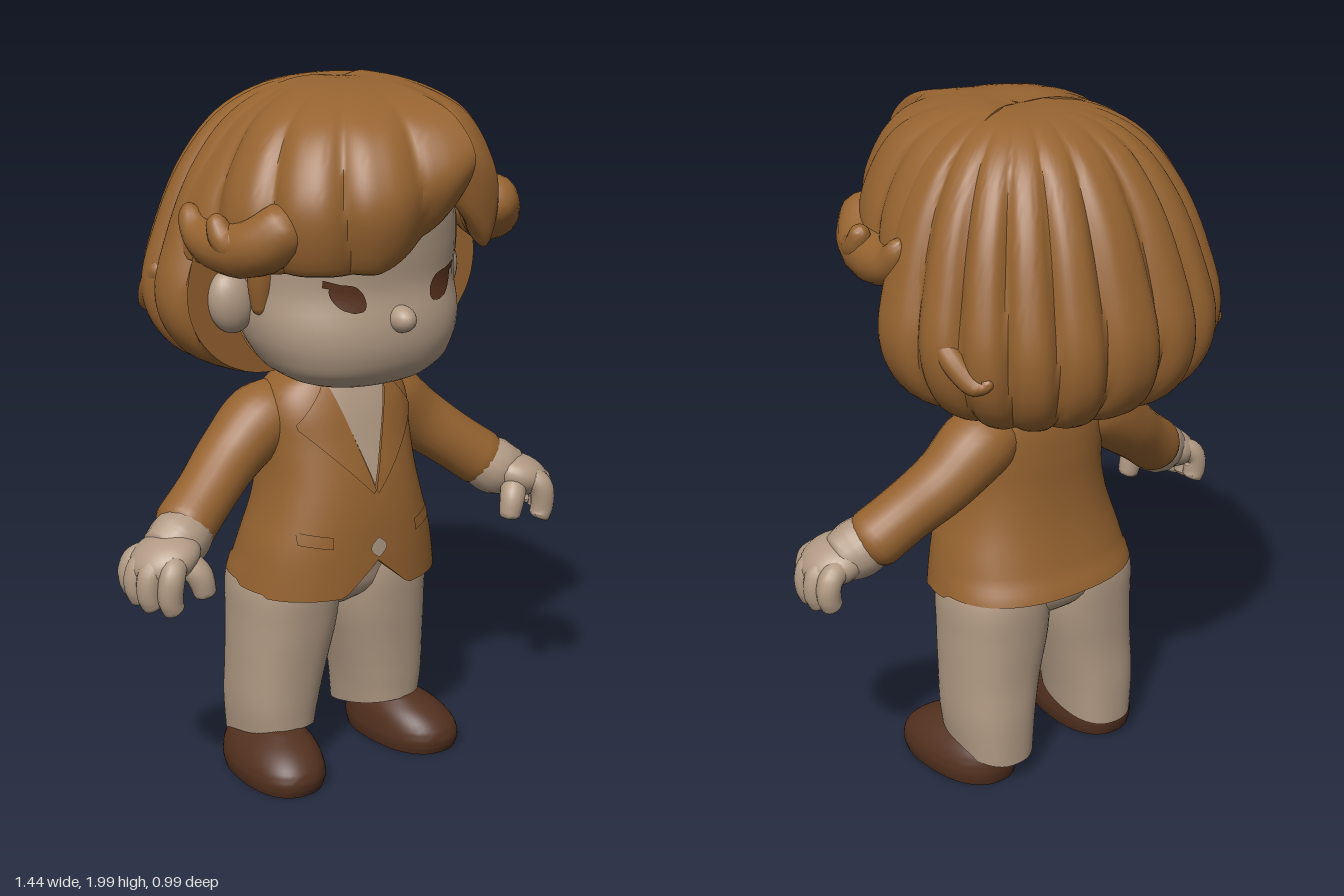
import * as THREE from 'three';
import { mergeVertices, toCreasedNormals } from 'three/addons/utils/BufferGeometryUtils.js';

const mat = (name, color) => Object.assign(new THREE.MeshStandardMaterial({ color, side: THREE.DoubleSide }), { name });
const { clamp, lerp, smoothstep } = THREE.MathUtils;

// Surface from a function of (row, column), smooth except at sharp creases
function grid(rows, cols, fn, crease = 1.1) {
  const pos = [], idx = [];
  for (let i = 0; i <= rows; i++) for (let j = 0; j <= cols; j++) pos.push(...fn(i, j));
  for (let i = 0; i < rows; i++) for (let j = 0; j < cols; j++) {
    const a = i * (cols + 1) + j, b = a + cols + 1;
    idx.push(a, b, a + 1, b, b + 1, a + 1);
  }
  const g = new THREE.BufferGeometry();
  g.setAttribute('position', new THREE.Float32BufferAttribute(pos, 3));
  g.setIndex(idx);
  return toCreasedNormals(mergeVertices(g, 1e-5), crease);
}

// Smooth interpolation of rows [t, a, b, ...]
function interpolator(table) {
  const n = table[0].length - 1;
  const it = new THREE.CubicInterpolant(new Float32Array(table.map(r => r[0])),
    new Float32Array(table.flatMap(r => r.slice(1))), n, new Float32Array(n));
  return t => Array.from(it.evaluate(t));
}

// Horizontal rounded sections: [y, centre x, half width, front z, back z]
const ROUND = 0.85;
const pw = (v, p) => Math.sign(v) * Math.abs(v) ** p;
function loft(rings, deform = p => p, seg = 48, sub = 4) {
  const at = interpolator(rings), ys = [];
  rings.forEach((r, i) => {
    if (i) for (let k = 1; k <= sub; k++) ys.push(lerp(rings[i - 1][0], r[0], k / sub));
    else ys.push(r[0]);
  });
  const last = ys.length + 1;
  return grid(last, seg, (i, j) => {
    const y = ys[clamp(i - 1, 0, ys.length - 1)], [cx, rx, zf, zb] = at(y);
    const k = i === 0 || i === last ? 0 : 1, a = (j % seg) / seg * Math.PI * 2;
    return deform([cx + k * Math.max(rx, 0.001) * pw(Math.cos(a), ROUND), y,
      (zf + zb) / 2 + k * (zf - zb) / 2 * pw(Math.sin(a), ROUND)], i === 0);
  });
}

// Front depth of a lofted body at (x, y)
function frontOf(rings) {
  const at = interpolator(rings);
  return (x, y) => {
    const [cx, rx, zf, zb] = at(y), q = Math.min(1, Math.abs((x - cx) / rx));
    return (zf + zb) / 2 + (zf - zb) / 2 * (1 - q ** (2 / ROUND)) ** (ROUND / 2);
  };
}

// Thin plate laid on a body: edge(t) gives [x left, x right, y left, y right]
const patch = (front, edge, lift, n = 20) => grid(n, n, (i, j) => {
  const [xa, xb, ya, yb] = edge(1 - i / n), s = j / n;
  const x = lerp(xb, xa, s), y = lerp(yb, ya, s);
  return [x, y, front(x, y) + lift];
});

// Tapered round tube with rounded tips
function tube(points, radii, squash = 1, n = 24, seg = 16) {
  const c = new THREE.CatmullRomCurve3(points.map(p => new THREE.Vector3(...p)));
  const f = c.computeFrenetFrames(n), rad = interpolator(radii.map((r, i) => [i / (radii.length - 1), r]));
  return grid(n, seg, (i, j) => {
    const t = (1 - Math.cos(i / n * Math.PI)) / 2, a = (j % seg) / seg * Math.PI * 2;
    const e = Math.max(0, Math.abs(t - 0.5) * 2 - 0.8) / 0.2;
    const r = rad(t)[0] * Math.sqrt(Math.max(0, 1 - e * e));
    const k = Math.round(t * n);
    return c.getPoint(t).addScaledVector(f.normals[k], r * Math.cos(a))
      .addScaledVector(f.binormals[k], -r * squash * Math.sin(a)).toArray();
  });
}

// Ribbed hair shell around the crown; section(u, angle) gives [radius, y], from crown to rim to inside
function hairShell(from, to, rx, rz, lobes, depth, section) {
  const rows = 44, cols = 150;
  return grid(rows, cols, (i, j) => {
    const u = i / rows, v = clamp((j - 1) / (cols - 2), 0, 1), a = lerp(from, to, v);
    let [r, y] = section(u, a);
    const rib = Math.abs(Math.sin(v * lobes * Math.PI + 0.5 * Math.sin(u * 4)));
    r *= 1 - depth * Math.min(1, u * 2.5) * (1 - rib) ** 1.5;
    if (j === 0 || j === cols) r *= 0.72;
    return [0.05 * (1 - Math.min(1, r)) + r * rx * pw(Math.sin(a), 0.88), y, r * rz * pw(Math.cos(a), 0.88)];
  }, 0.9);
}

export function createModel() {
  const skin = mat('warm beige', 0xb19a84), brown = mat('chestnut brown', 0x966330);
  const leather = mat('dark leather', 0x52301f), iris = mat('eye brown', 0x56301c);
  const model = new THREE.Group();
  const add = (name, geo, m) => {
    const mesh = new THREE.Mesh(geo, m);
    mesh.name = name;
    model.add(mesh);
    return mesh;
  };

  // Head, nose and neck
  const headRings = [[1.175, 0, 0.06, 0.2, 0.06], [1.185, 0, 0.15, 0.265, 0], [1.215, 0, 0.23, 0.315, -0.05],
    [1.28, 0, 0.285, 0.35, -0.12], [1.36, 0, 0.31, 0.355, -0.16], [1.46, 0, 0.312, 0.335, -0.2],
    [1.56, 0, 0.315, 0.34, -0.2], [1.68, 0, 0.3, 0.34, -0.2], [1.8, 0, 0.25, 0.29, -0.16], [1.88, 0, 0.1, 0.13, -0.05]];
  add('head', loft(headRings), skin);
  add('nose', new THREE.SphereGeometry(1, 20, 14).scale(0.037, 0.037, 0.05).translate(0, 1.385, 0.348), skin);
  add('neck', new THREE.CylinderGeometry(0.11, 0.12, 0.2, 28).translate(0, 1.13, 0.03), skin);

  // Jacket with a hollow hem, cut away at the front
  const coat = [[0.58, 0, 0.31, 0.255, -0.22], [0.7, 0, 0.284, 0.252, -0.18], [0.8, 0, 0.252, 0.245, -0.157],
    [0.9, 0, 0.23, 0.228, -0.147], [1.0, 0, 0.226, 0.2, -0.145], [1.1, 0, 0.225, 0.17, -0.135],
    [1.16, 0, 0.19, 0.145, -0.11], [1.2, 0, 0.125, 0.125, -0.055]];
  add('jacket', loft(coat, ([x, y, z], cap) => {
    const notch = z > 0.12 && y < 0.7 ? Math.max(0, 1 - Math.abs(x) / 0.11) : 0;
    return [x, cap ? 0.69 : y + notch * (0.7 - y) * 0.8 + (z < 0 && y < 0.62 ? 0.015 : 0) - (z > 0.12 && y < 0.6 ? 0.01 : 0), z];
  }, 96), brown);
  const chest = frontOf(coat);
  add('shirtFront', patch(chest, t => [-0.1 * t, 0.1 * t, 0.88 + 0.305 * t, 0.88 + 0.305 * t], 0.006), skin);
  add('waistGap', patch(chest, t => {
    const w = 0.027 * Math.sin(t * Math.PI);
    return [-w, w, 0.675 + 0.06 * t, 0.675 + 0.06 * t];
  }, 0.006), skin);

  // Trousers seat
  add('trouserSeat', loft([[0.475, 0, 0.03, 0.07, -0.08], [0.52, 0, 0.17, 0.13, -0.145],
    [0.6, 0, 0.275, 0.155, -0.165], [0.72, 0, 0.24, 0.19, -0.13]]), skin);

  // Back hair: a bob that curls under to the neck, a little shorter at the sides
  const bob = interpolator([[0, 0, 1.985], [0.08, 0.2, 1.985], [0.17, 0.41, 1.96], [0.27, 0.62, 1.89], [0.38, 0.8, 1.76],
    [0.5, 0.93, 1.59], [0.61, 1, 1.43], [0.7, 0.96, 1.31], [0.78, 0.84, 1.225], [0.86, 0.66, 1.185], [0.92, 0.46, 1.19], [1, 0.22, 1.24]]);
  add('backHair', hairShell(1.5, Math.PI * 2 - 1.5, 0.505, 0.49, 11, 0.075, (u, a) => {
    const [r, y] = bob(u);
    return [r, y + 0.035 * Math.sin(a) ** 6 * smoothstep(u, 0.5, 0.76) * (1 - smoothstep(u, 0.82, 0.95))];
  }), brown);

  // Front hair: fringe swept away from a side parting, tapered at the sides
  const fringe = interpolator([[0, 0, 0, 1.985], [0.12, 0.28, 0.22, 1.99], [0.25, 0.6, 0.44, 1.955], [0.4, 0.85, 0.65, 1.885],
    [0.55, 1, 0.84, 1.75], [0.7, 0.98, 0.94, 1.62], [0.78, 0.9, 0.95, 1.54], [0.86, 0.8, 0.84, 1.57], [1, 0.7, 0.66, 1.72]]);
  add('frontHair', hairShell(-1.8, 1.8, 0.48, 0.5, 8, 0.06, (u, a) => {
    const [rf, rs, y] = fringe(u), d = a - 0.22, front = Math.max(0, Math.cos(a));
    const rise = d > 0 ? 1.1 * Math.max(0, 1 - d / 0.5) : 0.78 * Math.max(0, 1 + d / 0.52) ** 1.5;
    const dip = d > 0 ? 0.07 * front + 0.12 * Math.max(0, 1 - d / 0.45) : 0;
    return [lerp(rs, rf, front ** 0.8) * (1 - dip * Math.min(1, u * 2)), 1.99 - (1.99 - y) * (1 - 0.52 * rise)];
  }), brown);

  for (const s of [1, -1]) {
    const side = s > 0 ? 'left' : 'right';
    const m = pts => pts.map(([x, y, z]) => [s * x, y, z]);
    const plate = (name, front, edge, lift, material) =>
      add(side + name, patch(front, t => {
        const [a, b, c, d] = edge(t);
        return s > 0 ? [a, b, c, d] : [-b, -a, d, c];
      }, lift), material);

    // Eye with an outer lash
    plate('Eye', frontOf(headRings), t => {
      const w = 0.045 * Math.max(0, 1 - (2 * t - 1) ** 2) ** 0.36, c = 0.152 + 0.012 * (2 * t - 1), y = 1.415 + 0.078 * t;
      return [c - w, c + w, y - w * 0.05, y + w * 0.2];
    }, 0.006, iris);
    plate('Lash', frontOf(headRings), t => [0.16, 0.214, 1.472 + 0.018 * t, 1.487 + 0.02 * t], 0.007, iris);

    // Ear and sideburn
    const ear = add(side + 'Ear', new THREE.SphereGeometry(1, 24, 16), skin);
    ear.scale.set(0.068, 0.09, 0.055);
    ear.position.set(s * 0.345, 1.42, 0.045);
    ear.rotation.z = -s * 0.2;
    add(side + 'Sideburn', tube(m([[0.295, 1.62, 0.14], [0.3, 1.5, 0.13], [0.295, 1.39, 0.12]]), [0.04, 0.04, 0.025]), brown);

    // Curled locks at the temple and the nape
    add(side + 'TempleCurl', tube(m([[0.31, 1.7, 0.33], [0.385, 1.61, 0.24], [0.42, 1.595, 0.13], [0.437, 1.615, 0.04], [0.445, 1.69, -0.01]]),
      [0.07, 0.08, 0.07, 0.05, 0.025]), brown);
    add(side + 'TempleFlick', tube(m([[0.37, 1.66, 0.28], [0.42, 1.61, 0.22], [0.448, 1.63, 0.18], [0.46, 1.69, 0.15]]),
      [0.05, 0.052, 0.04, 0.022]), brown);
    add(side + 'NapeFlick', tube(m([[0.44, 1.5, -0.15], [0.435, 1.42, -0.22], [0.405, 1.36, -0.29], [0.39, 1.39, -0.33]]),
      [0.03, 0.035, 0.03, 0.012]), brown);

    // Lapel and pocket flap
    plate('Lapel', chest, t => {
      const outer = t < 0.68 ? 0.008 + 0.19 * t / 0.68 : 0.198 - 0.24 * (t - 0.68);
      return [0.1 * t, Math.max(outer, 0.1 * t + 0.004), 0.87 + 0.315 * t, 0.86 + 0.29 * t];
    }, 0.009, brown);
    plate('PocketFlap', chest, t => [0.14, 0.225, 0.72 + 0.035 * t, 0.735 + 0.035 * t], 0.006, brown);

    // Sleeve, wrist and hand
    add(side + 'Sleeve', tube(m([[0.1, 1.08, -0.01], [0.2, 1.055, -0.02], [0.32, 0.965, -0.01], [0.43, 0.88, 0.03], [0.555, 0.785, 0.075]]),
      [0.08, 0.108, 0.096, 0.088, 0.092], 0.95, 32, 24), brown);
    add(side + 'Wrist', tube(m([[0.48, 0.835, 0.06], [0.55, 0.79, 0.085], [0.62, 0.765, 0.1]]), [0.07, 0.085, 0.065]), skin);
    const palm = add(side + 'Palm', new THREE.SphereGeometry(1, 28, 20), skin);
    palm.scale.set(0.1, 0.062, 0.1);
    palm.position.set(s * 0.608, 0.765, 0.115);
    palm.rotation.z = -s * 0.35;
    [[0.045, 0.682, 0.668], [0.095, 0.692, 0.66], [0.15, 0.685, 0.655], [0.2, 0.65, 0.65]].forEach(([z, x, y], i) =>
      add(side + 'Finger' + (i + 1), tube(m([[0.61, 0.77, 0.115 + (z - 0.115) * 0.7], [x - 0.015, 0.745, z], [x - 0.008, y + 0.02, z], [x - 0.022, y - 0.01, z]]),
        [0.035, 0.036, 0.034, 0.03]), skin));
    add(side + 'Thumb', tube(m([[0.59, 0.77, 0.13], [0.545, 0.725, 0.18], [0.525, 0.655, 0.19]]), [0.038, 0.038, 0.03]), skin);

    // Trouser leg and shoe
    add(side + 'TrouserLeg', loft([[0.085, s * 0.188, 0.112, 0.125, -0.17], [0.2, s * 0.186, 0.124, 0.13, -0.17], [0.32, s * 0.173, 0.137, 0.14, -0.165],
      [0.46, s * 0.156, 0.152, 0.155, -0.17], [0.6, s * 0.15, 0.15, 0.16, -0.17], [0.66, s * 0.14, 0.13, 0.14, -0.15]],
    ([x, y, z]) => [x, y + (y < 0.2 ? 0.25 * (z + 0.1) * (0.2 - y) / 0.115 : 0), z]), skin);
    add(side + 'Shoe', loft([[0, s * 0.23, 0.115, 0.25, -0.13], [0.03, s * 0.23, 0.121, 0.26, -0.138], [0.07, s * 0.228, 0.115, 0.25, -0.138],
      [0.11, s * 0.22, 0.095, 0.205, -0.13], [0.145, s * 0.21, 0.06, 0.13, -0.1]],
    ([x, y, z]) => [x + s * (z - 0.06) * 0.06, y, z]), leather);
  }
  return model;
}
